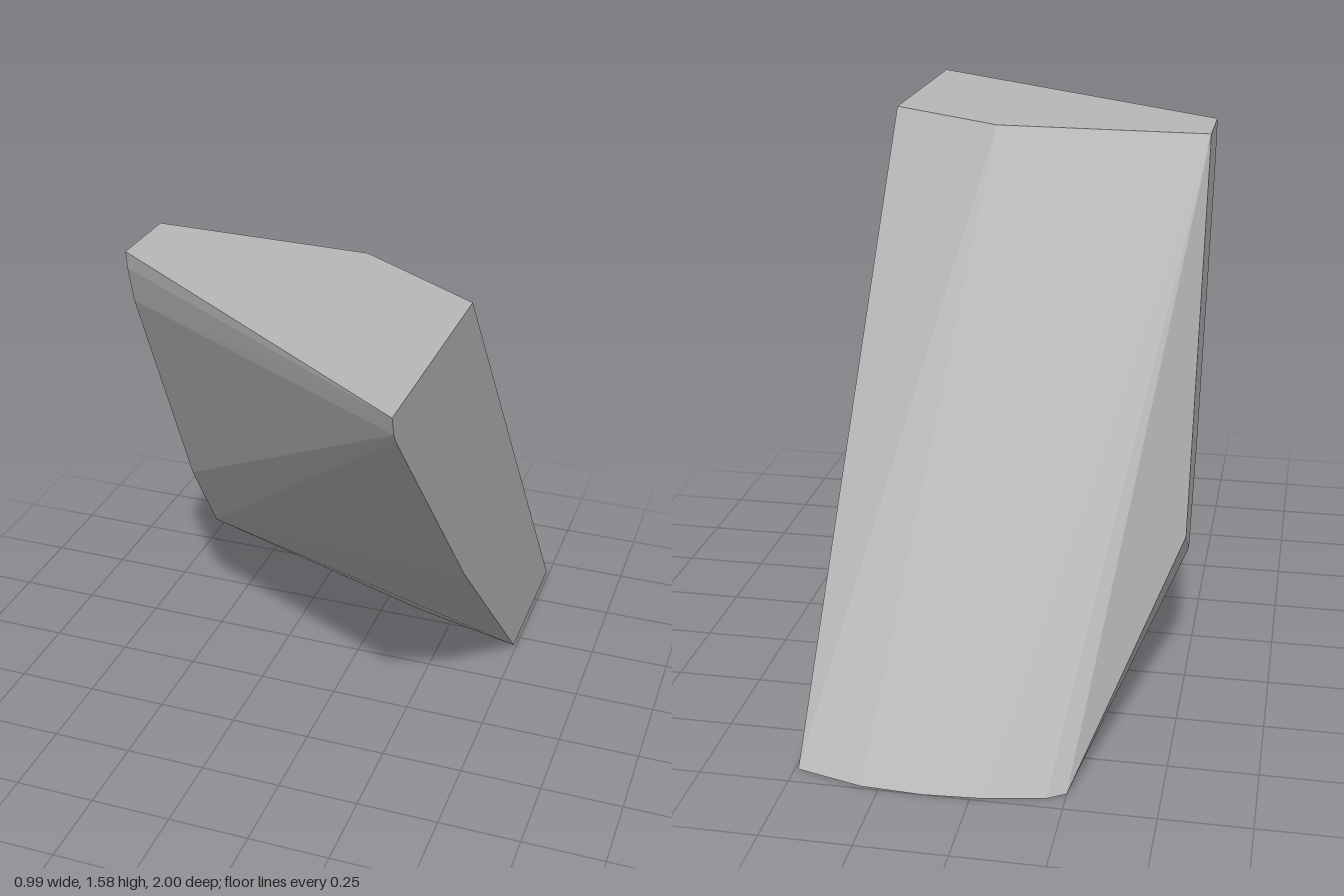
import * as THREE from 'three';
import { ConvexGeometry } from 'three/addons/geometries/ConvexGeometry.js';

// Slanted, faceted stone shard: a convex solid spanned by its corner rings.
export function createModel() {
  const stone = new THREE.MeshStandardMaterial({ color: 0xb8b8b8 });
  stone.name = 'stone grey';

  // flat top, [x, z] at y = 1.58
  const top = [[-0.5, 0.07], [0.13, 0.09], [0.49, 0.32], [0.49, 1.0], [-0.5, 0.3]];
  // flat foot with a bowed back edge, [x, z] at y = 0
  const foot = [
    [0.49, -0.45], [0.13, -0.55], [-0.19, -0.7], [-0.27, -0.76], [-0.25, -0.93],
    [-0.2, -0.96], [-0.03, -0.99], [0.13, -1.0], [0.3, -0.99], [0.49, -0.94],
  ];
  // corners of the flat sides, [y, z]
  const leftSide = [[1.53, 0.295], [1.42, 0.265], [0.69, -0.07], [0.42, -0.24], [0.51, -0.36]];
  const rightSide = [[1.53, 0.985], [1.5, 0.965], [0.73, 0.28]];

  const corners = [
    ...top.map(([x, z]) => new THREE.Vector3(x, 1.58, z)),
    ...foot.map(([x, z]) => new THREE.Vector3(x, 0, z)),
    ...leftSide.map(([y, z]) => new THREE.Vector3(-0.5, y, z)),
    ...rightSide.map(([y, z]) => new THREE.Vector3(0.49, y, z)),
  ];

  const shard = new THREE.Mesh(new ConvexGeometry(corners), stone);
  shard.name = 'stoneShard';

  const model = new THREE.Group();
  model.name = 'slantedStone';
  model.add(shard);
  return model;
}
